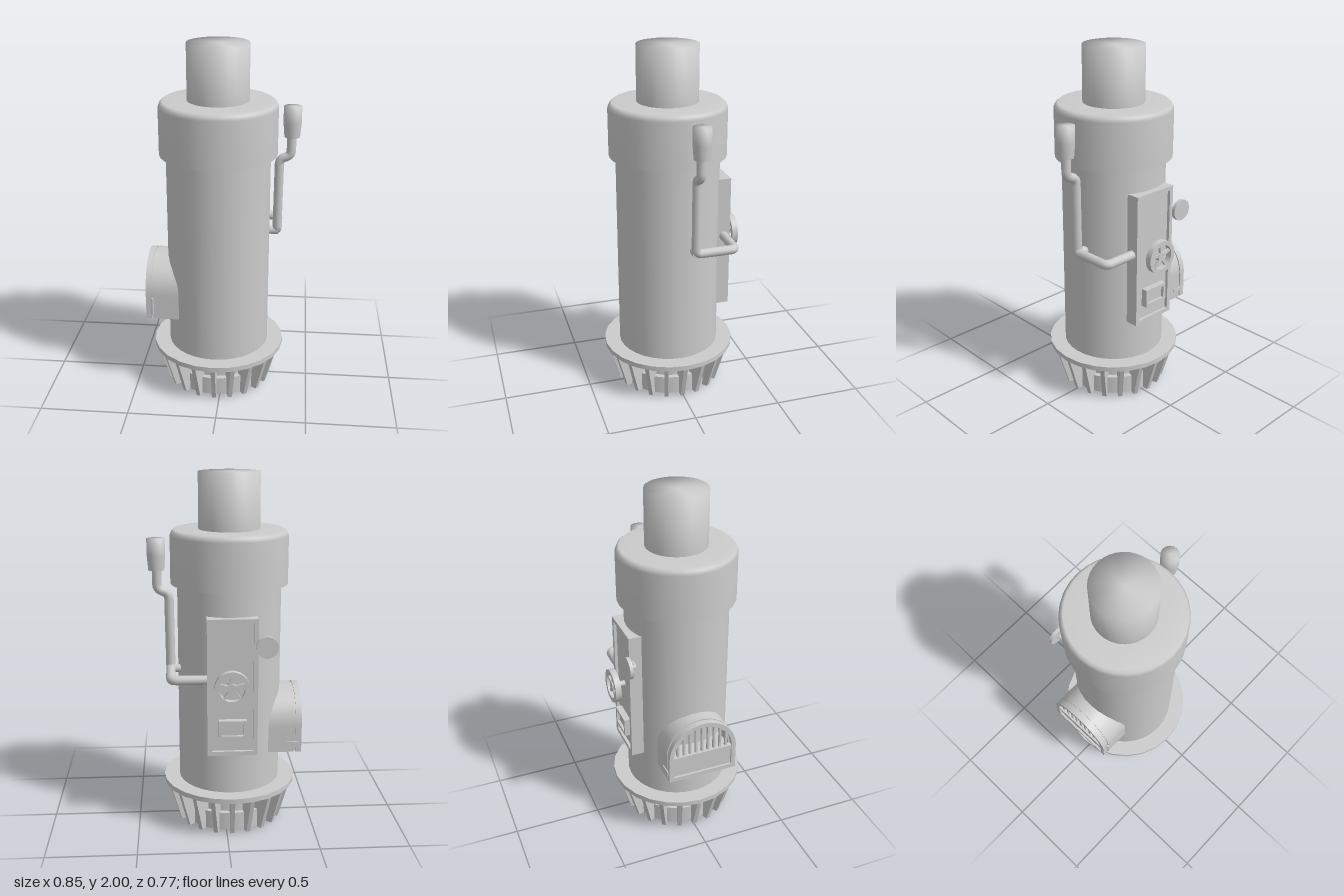
import * as THREE from 'three';
import { toCreasedNormals } from 'three/addons/utils/BufferGeometryUtils.js';

const CX = -0.03, CZ = 0.005; // main vertical axis

export function createModel() {
  const model = new THREE.Group();
  const mat = new THREE.MeshStandardMaterial({ color: 0xcccccc, side: THREE.DoubleSide });

  const add = (name, geo, x = 0, y = 0, z = 0, parent = model) => {
    const m = new THREE.Mesh(geo, mat);
    m.name = name;
    m.position.set(x, y, z);
    parent.add(m);
    return m;
  };
  const group = (name, x = 0, y = 0, z = 0) => {
    const g = new THREE.Group();
    g.name = name;
    g.position.set(x, y, z);
    model.add(g);
    return g;
  };
  const box = (w, h, d) => new THREE.BoxGeometry(w, h, d);
  // Repeated profile points give a hard edge
  const lathe = (pts, seg = 32) => new THREE.LatheGeometry(pts.map(p => new THREE.Vector2(...p)), seg);
  const extrude = (shape, depth) => toCreasedNormals(
    new THREE.ExtrudeGeometry(shape, { depth, bevelEnabled: false, curveSegments: 20 }), 0.6);
  const rect = (w, h, C = THREE.Shape) => new C([
    new THREE.Vector2(-w / 2, -h / 2), new THREE.Vector2(w / 2, -h / 2),
    new THREE.Vector2(w / 2, h / 2), new THREE.Vector2(-w / 2, h / 2)]);
  const frame = (w, h, border, depth) => {
    const s = rect(w, h);
    s.holes.push(rect(w - 2 * border, h - 2 * border, THREE.Path));
    return extrude(s, depth);
  };
  // Pipe through points with rounded corners
  const pipe = (points, radius, bend) => {
    const p = points.map(a => new THREE.Vector3(...a));
    const path = new THREE.CurvePath();
    let from = p[0];
    for (let i = 1; i < p.length - 1; i++) {
      const a = p[i].clone().add(p[i - 1].clone().sub(p[i]).setLength(bend));
      const b = p[i].clone().add(p[i + 1].clone().sub(p[i]).setLength(bend));
      path.add(new THREE.LineCurve3(from, a));
      path.add(new THREE.QuadraticBezierCurve3(a, p[i], b));
      from = b;
    }
    path.add(new THREE.LineCurve3(from, p[p.length - 1]));
    return new THREE.TubeGeometry(path, 100, radius, 12, false);
  };

  // Boiler body, collar and chimney
  add('body', lathe([[0.29, 0.24], [0.29, 1.42]]), CX, 0, CZ);
  add('collar', lathe([[0.28, 1.395], [0.327, 1.395], [0.327, 1.395], [0.327, 1.66],
    [0.318, 1.68], [0.303, 1.693], [0.16, 1.693]]), CX, 0, CZ);
  add('chimney', lathe([[0.17, 1.68], [0.17, 2], [0, 2]]), CX, 0, CZ);

  // Base: flange, inner drum and tapered fins
  add('baseFlange', lathe([[0, 0.222], [0.38, 0.222], [0.38, 0.222], [0.38, 0.25],
    [0.38, 0.25], [0.28, 0.25]], 24), CX, 0, CZ);
  add('baseDrum', lathe([[0, 0.004], [0.268, 0.004], [0.268, 0.004], [0.268, 0.11],
    [0.268, 0.11], [0.24, 0.11], [0.24, 0.11], [0.24, 0.225]]), CX, 0, CZ);
  const fins = group('baseFins', CX, 0, CZ);
  const finShape = new THREE.Shape([[0.23, 0], [0.3, 0], [0.365, 0.223], [0.23, 0.223]]
    .map(p => new THREE.Vector2(...p)));
  const finGeo = extrude(finShape, 0.024).translate(0, 0, -0.012);
  const FINS = 20;
  for (let i = 0; i < FINS; i++) {
    add('fin', finGeo, 0, 0, 0, fins).rotation.y = (i / FINS) * Math.PI * 2;
  }

  // Arched fire door housing on the right side, shape drawn in (z, y)
  const door = group('fireDoor', 0, 0, CZ);
  const arch = (r, bottom, C = THREE.Shape) => {
    const s = new C();
    s.moveTo(-r, bottom);
    s.lineTo(r, bottom);
    s.lineTo(r, 0.6);
    s.absarc(0, 0.6, r, 0, Math.PI, false);
    s.lineTo(-r, bottom);
    return s;
  };
  const archRing = (r, bottom, hole, holeBottom, depth) => {
    const s = arch(r, bottom);
    s.holes.push(arch(hole, holeBottom, THREE.Path));
    return extrude(s, depth).rotateY(-Math.PI / 2);
  };
  add('doorHousing', archRing(0.2, 0.45, 0.165, 0.597, 0.185), -0.2, 0, 0, door);
  add('doorSeal', archRing(0.193, 0.457, 0.165, 0.597, 0.014), -0.384, 0, 0, door);
  add('doorRim', archRing(0.2, 0.45, 0.175, 0.475, 0.033), -0.395, 0, 0, door);
  add('doorPanel', box(0.02, 0.13, 0.36), -0.405, 0.53, 0, door);
  add('doorSill', box(0.032, 0.022, 0.36), -0.411, 0.596, 0, door);
  for (let i = -4; i <= 4; i++) {
    const z = i * 0.036;
    const h = Math.sqrt(0.18 ** 2 - z * z);
    add('grilleBar', box(0.016, h, 0.012), -0.408, 0.595 + h / 2, z, door);
  }
  add('doorLatch', box(0.07, 0.022, 0.012), -0.375, 0.5, -0.2, door);
  add('doorHinge', new THREE.CylinderGeometry(0.007, 0.007, 0.1, 8), -0.39, 0.53, 0.201, door);

  // Control cabinet on the back
  const cabinet = group('controlCabinet', -0.028, 0.875, 0);
  add('cabinetBox', box(0.275, 0.77, 0.125), 0, 0, -0.2425, cabinet);
  add('cabinetFrame', frame(0.275, 0.77, 0.024, 0.017), 0, 0, -0.322, cabinet);
  add('ventPlate', box(0.15, 0.1, 0.02), 0, -0.23, -0.315, cabinet);
  add('ventFrame', frame(0.155, 0.105, 0.018, 0.036), 0, -0.23, -0.341, cabinet);

  // Hand wheel
  const wheel = group('handWheel', -0.022, 0.895, -0.371);
  const ring = new THREE.Shape().absarc(0, 0, 0.095, 0, Math.PI * 2);
  ring.holes.push(new THREE.Path().absarc(0, 0, 0.07, 0, Math.PI * 2));
  add('wheelRim', extrude(ring, 0.034).translate(0, 0, -0.017), 0, 0, 0, wheel);
  add('wheelStem', new THREE.CylinderGeometry(0.017, 0.017, 0.09, 12).rotateX(Math.PI / 2), 0, 0, 0.035, wheel);
  add('wheelHub', new THREE.CylinderGeometry(0.026, 0.026, 0.026, 12).rotateX(Math.PI / 2), 0, 0, 0, wheel);
  const spokeGeo = box(0.016, 0.075, 0.016).translate(0, 0.0375, 0);
  for (let i = 0; i < 5; i++) {
    add('spoke', spokeGeo, 0, 0, 0, wheel).rotation.z = (i / 5) * Math.PI * 2;
  }

  // Round gauge on a short elbow
  add('gaugePipe', pipe([[-0.15, 1.11, -0.304], [-0.21, 1.11, -0.304], [-0.21, 1.11, -0.335]], 0.011, 0.015));
  add('gauge', new THREE.CylinderGeometry(0.06, 0.06, 0.02, 24).rotateX(Math.PI / 2), -0.21, 1.11, -0.341);

  // Steam pipe and whistle on the left side
  add('steamPipe', pipe([[0.1, 0.918, -0.285], [0.302, 0.918, -0.285], [0.302, 0.918, -0.057],
    [0.306, 1.35, -0.057], [0.37, 1.37, -0.057], [0.37, 1.5, -0.057]], 0.026, 0.032));
  add('pipeBracket', new THREE.CylinderGeometry(0.024, 0.024, 0.08, 12).rotateZ(Math.PI / 2), 0.27, 0.918, -0.06);
  add('whistle', lathe([[0, 1.478], [0.043, 1.478], [0.043, 1.478], [0.05, 1.56], [0.05, 1.65], [0, 1.65]], 24),
    0.372, 0, -0.058);

  return model;
}
